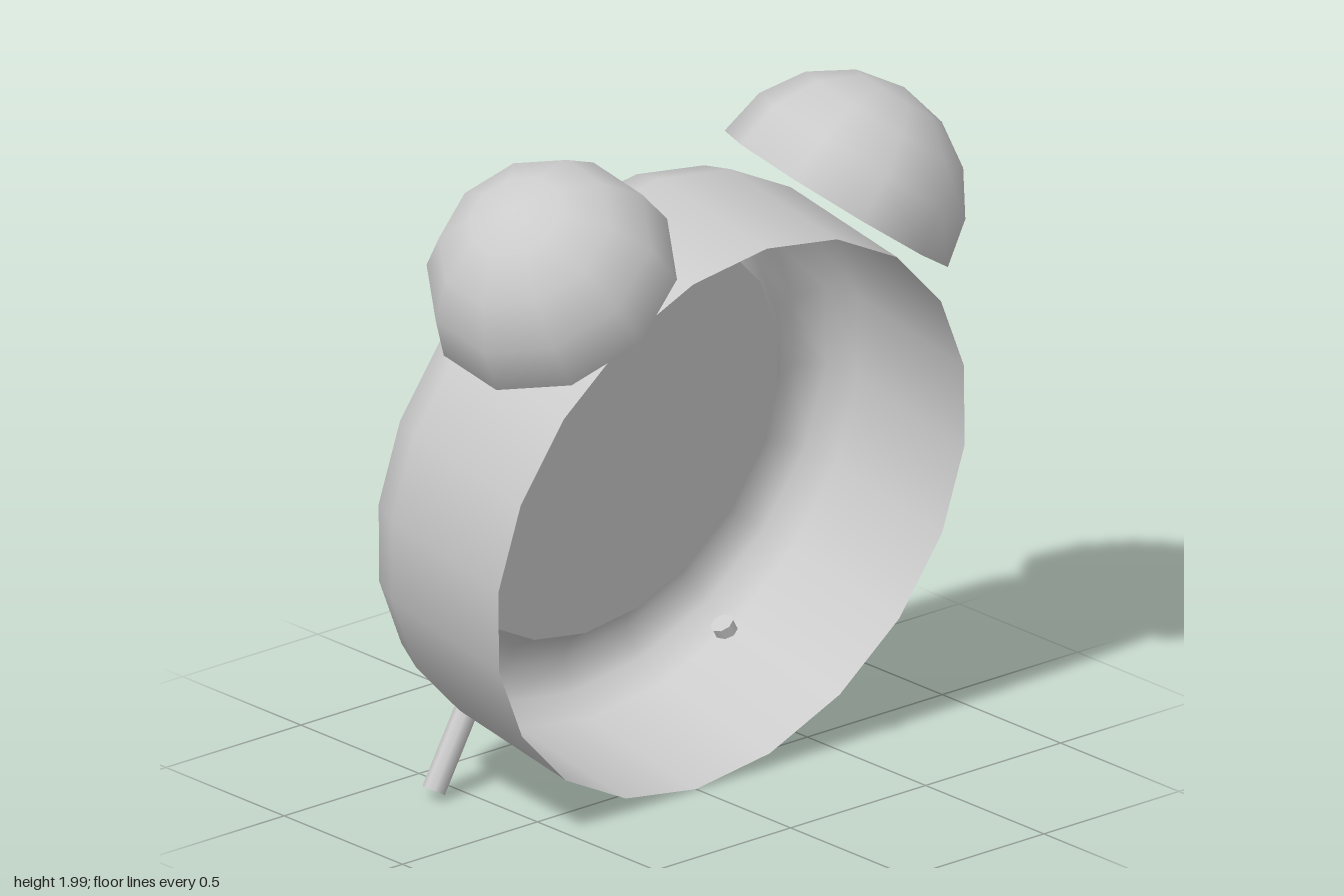
import * as THREE from 'three';

const mat = new THREE.MeshStandardMaterial({ color: 0xcccccc, side: THREE.DoubleSide });

function add(parent, name, geometry) {
  const mesh = new THREE.Mesh(geometry, mat);
  mesh.name = name;
  parent.add(mesh);
  return mesh;
}

// Lay a mesh whose length runs along y between two points
function span(mesh, from, to) {
  const a = new THREE.Vector3(...from), b = new THREE.Vector3(...to);
  const y = b.clone().sub(a).normalize();
  const z = new THREE.Vector3(-1, 0.17, 0).cross(y).normalize();
  const x = y.clone().cross(z);
  mesh.quaternion.setFromRotationMatrix(new THREE.Matrix4().makeBasis(x, y, z));
  mesh.position.copy(a).add(b).multiplyScalar(0.5);
  return mesh;
}

const distance = (a, b) => new THREE.Vector3(...a).distanceTo(new THREE.Vector3(...b));

export function createModel() {
  const model = new THREE.Group();
  model.name = 'alarmClock';

  // Leaning body: the dial looks towards -x, the back is open
  const clock = new THREE.Group();
  clock.name = 'clockBody';
  clock.position.set(0.25, 0.86, 0);
  clock.rotation.z = -Math.PI / 18;
  model.add(clock);

  // Drum with a rounded front lip
  const profile = [
    [0.863, 0], [0.863, 0.457], [0.829, 0.554],
    [0.74, 0.595], [0.665, 0.575], [0.62, 0.52],
  ].map(([r, a]) => new THREE.Vector2(r, a));
  add(clock, 'drum', new THREE.LatheGeometry(profile, 20).rotateZ(Math.PI / 2));

  // Dial closing the lip
  const dial = add(clock, 'dial', new THREE.CircleGeometry(0.62, 20).rotateY(-Math.PI / 2));
  dial.position.x = -0.52;

  // Bells: open hemispheres leaning outwards
  for (const side of [1, -1]) {
    const bell = add(clock, side > 0 ? 'frontBell' : 'backBell',
      new THREE.SphereGeometry(0.365, 10, 4, 0, Math.PI * 2, 0, Math.PI / 2));
    bell.position.set(-0.284, 0.742, side * 0.52);
    bell.rotation.x = side * 0.6;
  }

  // Hands: name, from, to, width
  const hands = [
    ['minuteHand', [-0.28, 0.95, -0.005], [-0.19, 1.46, -0.005], 0.045],
    ['hourHand', [-0.28, 0.96, -0.01], [-0.315, 0.93, -0.38], 0.045],
    ['secondHand', [-0.295, 0.96, 0.02], [-0.215, 1.34, 0.1], 0.02],
  ];
  for (const [name, from, to, width] of hands) {
    span(add(model, name, new THREE.BoxGeometry(0.012, distance(from, to), width)), from, to);
  }

  // Feet poking through the drum
  for (const side of [1, -1]) {
    const from = [-0.325, 0.035, side * 0.6], to = [-0.325, 0.265, side * 0.468];
    span(add(model, side > 0 ? 'frontFoot' : 'backFoot',
      new THREE.CylinderGeometry(0.034, 0.034, distance(from, to), 8)), from, to);
  }

  return model;
}
